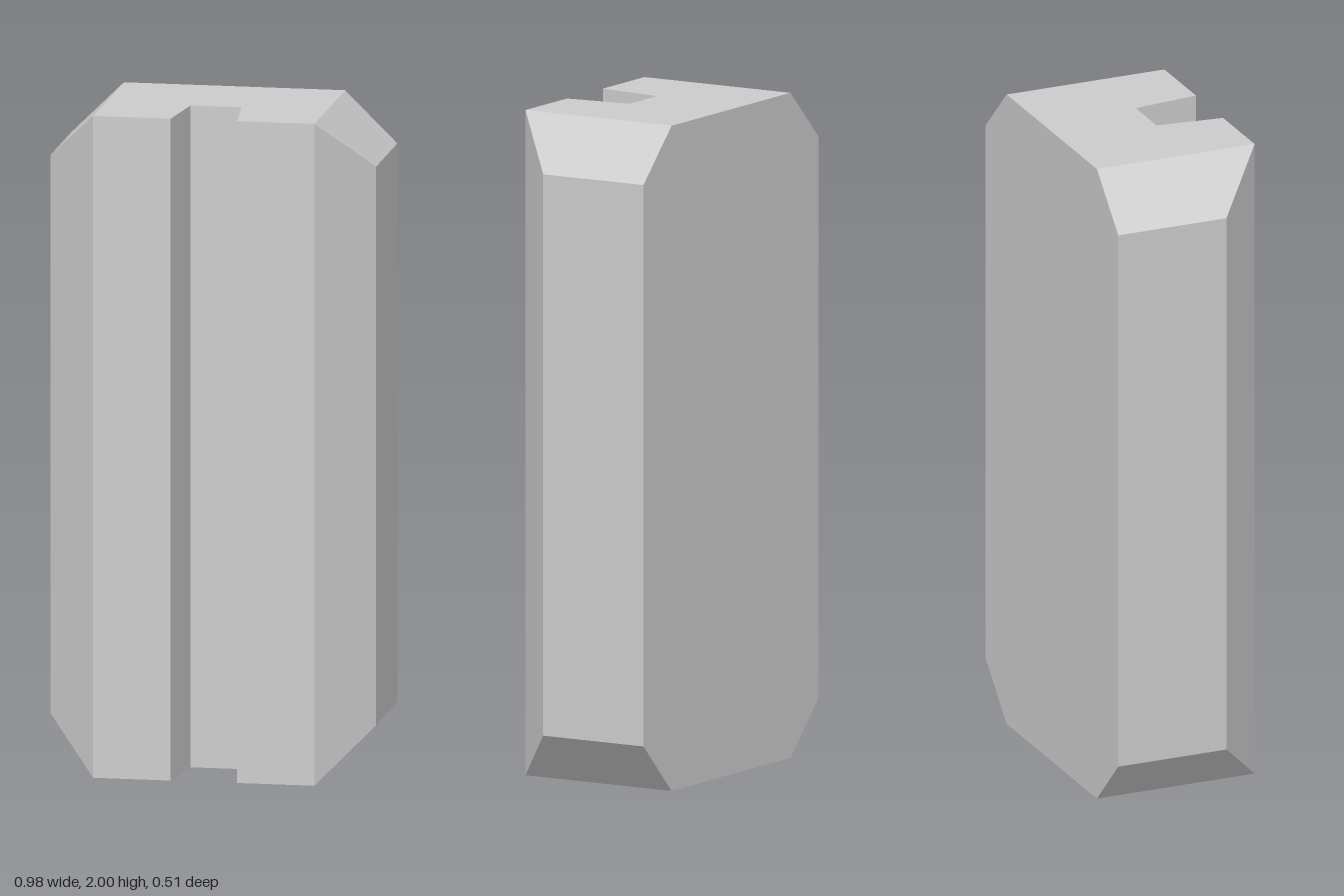
import * as THREE from 'three';

const DEPTH = 0.255;   // half depth
const FLAT = 0.333;    // half width of the flat front and ends

// Horizontal section as [x, z]; the side corners move, the grooved front stays
function section(sideX, sideZ) {
  const half = [[sideX, -DEPTH], [sideX, sideZ], [FLAT, DEPTH], [0.1, DEPTH], [0.077, 0.05]];
  return [...half, ...half.map(([x, z]) => [-x, z]).reverse()];
}

function blockGeometry() {
  const end = section(FLAT, DEPTH);
  const middle = section(0.49, 0.095);
  const levels = [[0, end], [0.157, middle], [1.845, middle], [2, end]];
  const rings = levels.map(([y, pts]) => pts.map(([x, z]) => new THREE.Vector3(x, y, z)));
  const n = end.length;
  const positions = [];
  const addTriangle = (a, b, c) => {
    if (new THREE.Triangle(a, b, c).getArea() < 1e-8) return; // collapsed corner
    for (const p of [a, b, c]) positions.push(p.x, p.y, p.z);
  };

  // Walls and bevels between neighbouring sections
  for (let i = 0; i < rings.length - 1; i++) {
    for (let k = 0; k < n; k++) {
      const a = rings[i][k], b = rings[i][(k + 1) % n];
      const c = rings[i + 1][(k + 1) % n], d = rings[i + 1][k];
      addTriangle(a, d, c);
      addTriangle(a, c, b);
    }
  }

  // Flat ends, leaving out the two collapsed side corners
  const keep = (p, k) => k !== 1 && k !== n - 2;
  const outline = end.filter(keep).map(([x, z]) => new THREE.Vector2(x, z));
  const bottom = rings[0].filter(keep);
  const top = rings[rings.length - 1].filter(keep);
  for (const [a, b, c] of THREE.ShapeUtils.triangulateShape(outline, [])) {
    addTriangle(bottom[a], bottom[b], bottom[c]);
    addTriangle(top[a], top[c], top[b]);
  }

  const geometry = new THREE.BufferGeometry();
  geometry.setAttribute('position', new THREE.Float32BufferAttribute(positions, 3));
  geometry.computeVertexNormals();
  return geometry;
}

export function createModel() {
  const group = new THREE.Group();
  group.name = 'groovedBlock';
  const material = new THREE.MeshStandardMaterial({ color: 0xcccccc, flatShading: true });
  const block = new THREE.Mesh(blockGeometry(), material);
  block.name = 'bevelledBlock';
  group.add(block);
  return group;
}
